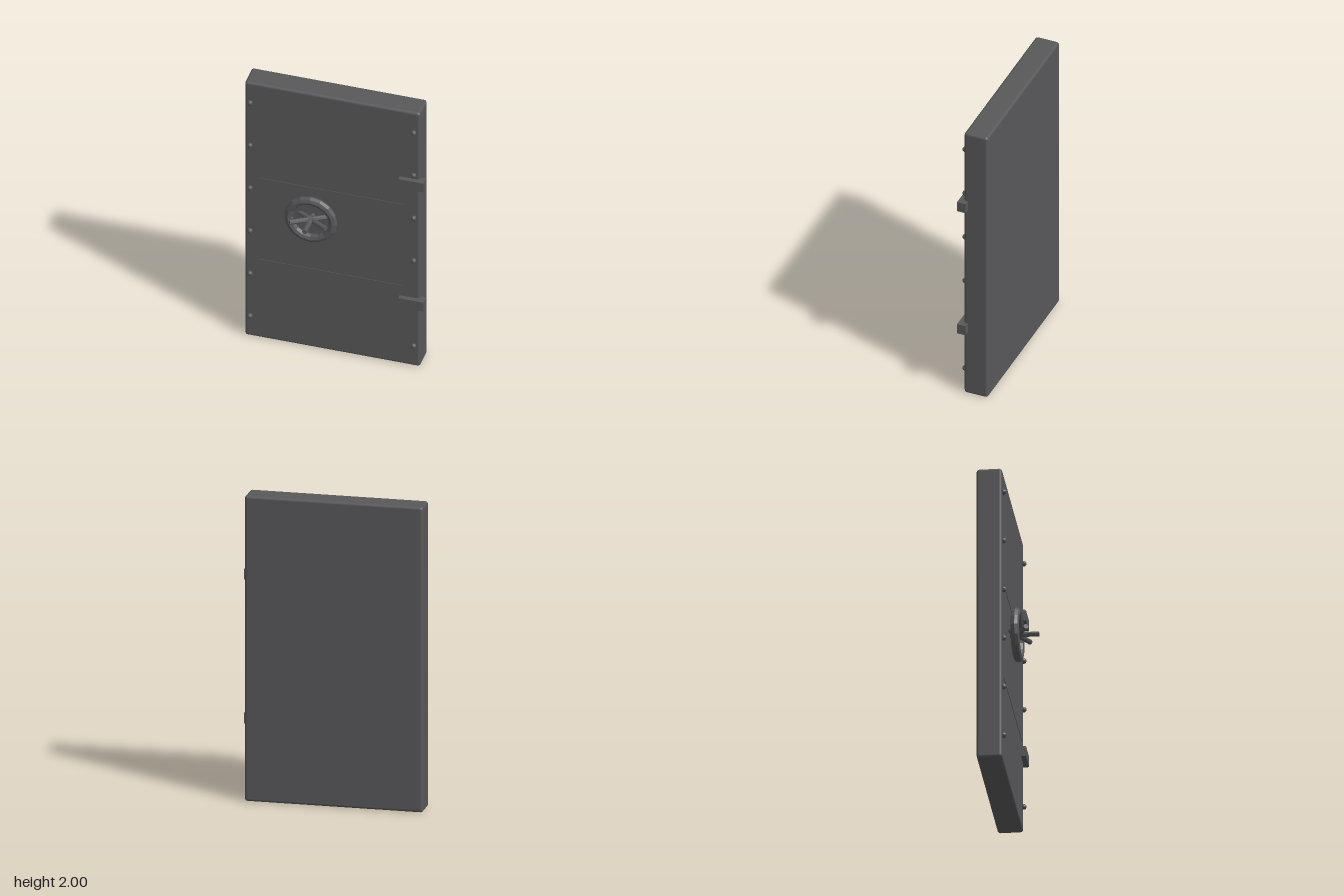
import * as THREE from 'three';
import { RoundedBoxGeometry } from 'three/addons/geometries/RoundedBoxGeometry.js';

const steel = new THREE.MeshStandardMaterial({ color: 0x58585a });
const facetedSteel = new THREE.MeshStandardMaterial({ color: 0x58585a, flatShading: true });

function add(parent, name, geometry, x, y, z, material = steel) {
  const mesh = new THREE.Mesh(geometry, material);
  mesh.name = name;
  mesh.position.set(x, y, z);
  parent.add(mesh);
  return mesh;
}

export function createModel() {
  const door = new THREE.Group();
  door.name = 'vaultDoor';

  // Thick slab with softened edges
  add(door, 'doorSlab', new RoundedBoxGeometry(1.15, 2, 0.162, 2, 0.018), -0.017, 1, -0.091);

  // Two shallow horizontal strips
  const strip = new THREE.BoxGeometry(0.947, 0.033, 0.02);
  for (const y of [0.606, 1.247]) add(door, 'reinforcingStrip', strip, -0.02, y, -0.017);

  // Hinge blocks overhanging the left edge
  const hinge = new THREE.BoxGeometry(0.167, 0.069, 0.059);
  for (const y of [0.505, 1.446]) add(door, 'hinge', hinge, 0.5085, y, -0.0075);

  // Rivets down both edges
  const rivet = new THREE.SphereGeometry(0.018, 8, 8);
  for (const x of [-0.555, 0.519]) {
    for (let i = 0; i < 6; i++) add(door, 'rivet', rivet, x, 0.163 + i * 0.337, -0.003, facetedSteel);
  }

  // Handwheel: rim in the door plane, three crossed bars fanned horizontally
  const wheel = new THREE.Group();
  wheel.name = 'handwheel';
  wheel.position.set(-0.144, 1.046, 0.035);
  add(wheel, 'wheelRim', new THREE.TorusGeometry(0.146, 0.028, 8, 16), 0, 0, 0, facetedSteel);
  const bar = new THREE.CylinderGeometry(0.0165, 0.0165, 0.274, 8);
  bar.rotateX(Math.PI / 2);
  for (let i = 0; i < 3; i++) {
    add(wheel, 'wheelSpoke', bar, 0, 0, 0, facetedSteel).rotation.y = (i * Math.PI) / 3;
  }
  door.add(wheel);

  return door;
}
